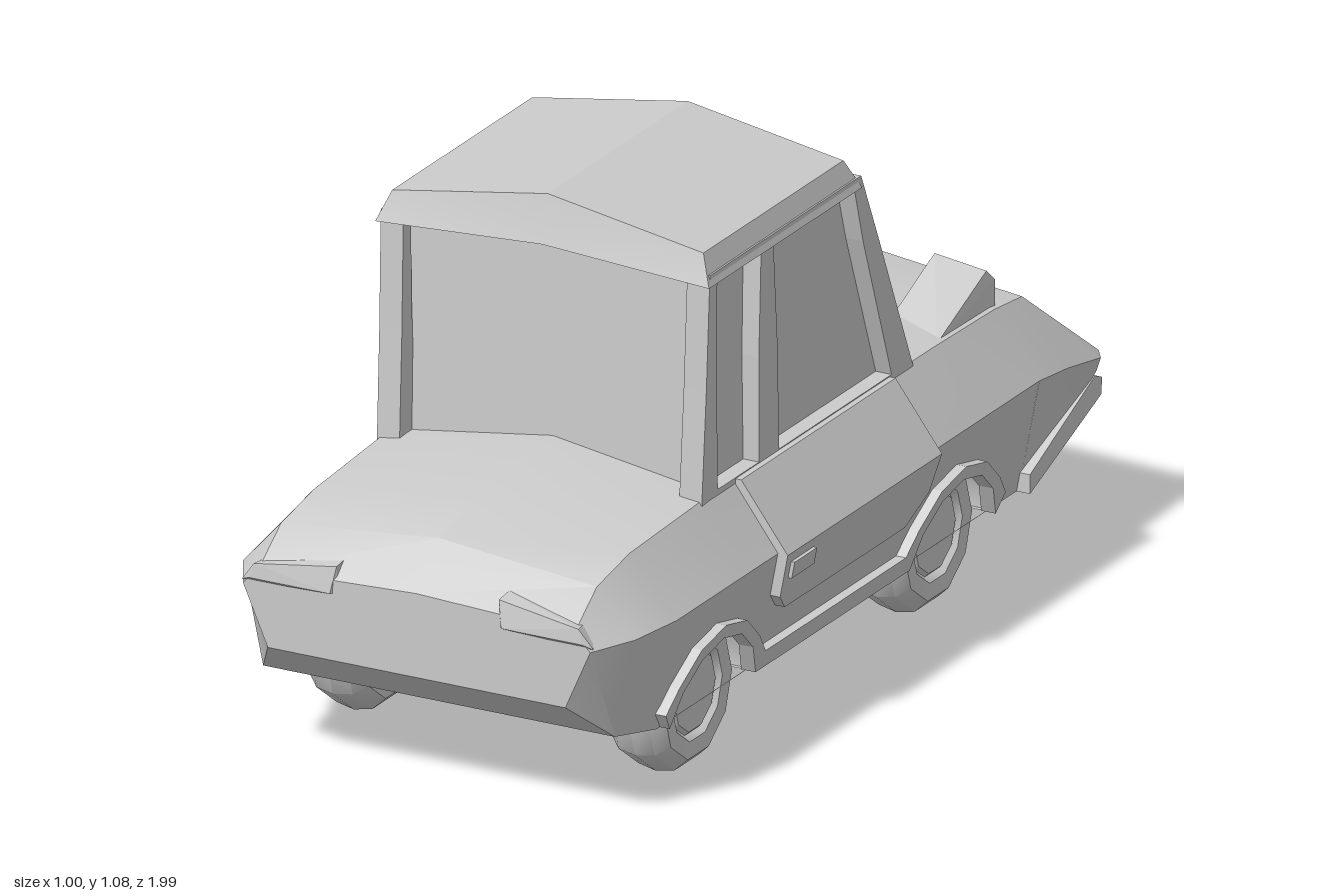
import * as THREE from 'three';
import { toCreasedNormals } from 'three/addons/utils/BufferGeometryUtils.js';
import { ConvexGeometry } from 'three/addons/geometries/ConvexGeometry.js';

const material = new THREE.MeshStandardMaterial({ color: 0xcccccc, side: THREE.DoubleSide });
const WHEELS_Z = [-0.395, 0.565];
const FLOOR = 0.155, BELT = 0.39;

// Half-width of the body side at a height: leans out to the belt line, then in to the shoulder
const sideX = y => (y > BELT ? 0.455 - (y - BELT) * 0.75 : 0.41 + (y - FLOOR) * 0.19);

export function createModel() {
  const car = new THREE.Group();

  function add(name, geometry, mirrored = false) {
    for (const s of mirrored ? [1, -1] : [1]) {
      const mesh = new THREE.Mesh(geometry, material);
      mesh.name = mirrored ? (s > 0 ? 'left' : 'right') + name : name;
      mesh.scale.x = s;
      car.add(mesh);
    }
  }

  // Skin over rings of [x, y, z], ordered front to back; skip() leaves strips open
  function loft(rings, skip = () => false, crease = 0.45) {
    const out = [];
    const n = rings[0].length;
    const tri = (...p) => p.forEach(v => out.push(...v));
    for (let i = 0; i < rings.length - 1; i++) {
      for (let k = 0; k < n; k++) {
        if (skip(i, k)) continue;
        const j = (k + 1) % n;
        tri(rings[i][k], rings[i + 1][k], rings[i][j]);
        tri(rings[i][j], rings[i + 1][k], rings[i + 1][j]);
      }
    }
    const first = rings[0], last = rings[rings.length - 1];
    for (let k = 1; k < n - 1; k++) {
      tri(first[0], first[k], first[k + 1]);
      tri(last[0], last[k + 1], last[k]);
    }
    const g = new THREE.BufferGeometry();
    g.setAttribute('position', new THREE.Float32BufferAttribute(out, 3));
    g.computeVertexNormals();
    return toCreasedNormals(g, crease);
  }

  // Side panel from a [z, y] outline, pushed out in x by a rule of height
  function panel(points, depth, rule, holes = []) {
    const toPath = pts => pts.map(([z, y]) => new THREE.Vector2(-z, y));
    const shape = new THREE.Shape(toPath(points));
    shape.holes = holes.map(h => new THREE.Path(toPath(h)));
    const g = new THREE.ExtrudeGeometry(shape, { depth, bevelEnabled: false }).rotateY(Math.PI / 2);
    const p = g.attributes.position;
    for (let i = 0; i < p.count; i++) p.setX(i, p.getX(i) + rule(p.getY(i)));
    g.computeVertexNormals();
    return g;
  }

  // Lower edge of the side running over both wheel arches, rear to front
  function archLine(r, base) {
    const pts = [];
    for (const c of WHEELS_Z) {
      for (let i = 0; i <= 6; i++) {
        const a = Math.PI * (1 - 0.06 - 0.88 * i / 6);
        pts.push([c + r * Math.cos(a), Math.max(base, 0.115 + r * Math.sin(a))]);
      }
    }
    return pts;
  }

  // Body sections: z, bottom x y, belt x y, shoulder x y, centre height
  const sections = [
    [0.97, 0.33, 0.26, 0.385, 0.385, 0.35, 0.42, 0.435],
    [0.88, 0.39, 0.18, 0.435, 0.39, 0.35, 0.485, 0.52],
    [0.75, 0.41, FLOOR, 0.455, BELT, 0.35, 0.51, 0.545],
    [0.45, 0.41, FLOOR, 0.455, BELT, 0.355, 0.525, 0.578],
    [-0.45, 0.41, FLOOR, 0.455, BELT, 0.355, 0.525, 0.57],
    [-0.7, 0.41, FLOOR, 0.455, BELT, 0.355, 0.52, 0.565],
    [-0.82, 0.42, 0.215, 0.452, 0.375, 0.35, 0.505, 0.545],
    [-0.955, 0.44, 0.32, 0.45, 0.35, 0.445, 0.365, 0.415],
  ];
  const rings = sections.map(([z, xb, yb, xw, yw, xs, ys, yc]) => [
    [xb, yb, z], [xw, yw, z], [xs, ys, z], [0, yc, z],
    [-xs, ys, z], [-xw, yw, z], [-xb, yb, z]]);
  add('bodyShell', loft(rings, (i, k) => i >= 2 && i <= 4 && [0, 5, 6].includes(k)));

  // Lower sides with arch openings, and the raised trim that follows them
  const opening = archLine(0.175, FLOOR);
  add('LowerSide', panel([[0.75, BELT], [-0.7, BELT], [-0.7, FLOOR], ...opening, [0.75, FLOOR]],
    0.01, y => sideX(y) - 0.01), true);
  add('ArchTrim', panel([...archLine(0.203, 0.192), ...opening.slice().reverse()],
    0.03, y => sideX(y) - 0.008), true);

  // Floor with wheel cut-outs
  const rect = (x0, x1, z0, z1) => [[x0, z0], [x1, z0], [x1, z1], [x0, z1]].map(p => new THREE.Vector2(...p));
  const floor = new THREE.Shape(rect(-0.41, 0.41, -0.7, 0.75));
  for (const c of WHEELS_Z) {
    for (const x of [-0.41, 0.25]) {
      floor.holes.push(new THREE.Path(rect(x + 0.002, x + 0.158, c - 0.175, c + 0.175)));
    }
  }
  add('floor', new THREE.ShapeGeometry(floor).rotateX(Math.PI / 2).translate(0, FLOOR, 0));

  // Wheels and the wells they sit in
  const tyre = [[0.09, 0.05], [0.1, 0.063], [0.135, 0.065], [0.16, 0.04], [0.168, 0],
    [0.16, -0.04], [0.135, -0.065], [0, -0.065]].map(p => new THREE.Vector2(...p)).reverse();
  const hub = [[0, 0.058], [0.082, 0.058], [0.095, 0.045]].map(p => new THREE.Vector2(...p)).reverse();
  for (const [i, z] of WHEELS_Z.entries()) {
    const place = g => g.rotateZ(-Math.PI / 2).translate(0.335, 0.168, z);
    const end = i ? 'Front' : 'Rear';
    add(end + 'Tyre', toCreasedNormals(place(new THREE.LatheGeometry(tyre, 10)), 0.7), true);
    add(end + 'Hub', toCreasedNormals(place(new THREE.LatheGeometry(hub, 10)), 0.3), true);
    const well = new THREE.CylinderGeometry(0.185, 0.185, 0.16, 10, 1, true, 0, Math.PI)
      .rotateZ(Math.PI / 2).rotateX(0).translate(0.33, FLOOR, z);
    add(end + 'Well', well, true);
    add(end + 'WellWall', new THREE.CircleGeometry(0.185, 10, 0, Math.PI)
      .rotateY(Math.PI / 2).translate(0.25, FLOOR, z), true);
  }

  // Doors: an upper and a lower half meeting at the belt line
  const onSide = y => sideX(y) - 0.005;
  add('DoorUpper', panel([[0.345, BELT], [0.345, 0.528], [-0.272, 0.528], [-0.272, BELT]], 0.027, onSide), true);
  add('DoorLower', panel([[0.345, BELT], [0.345, 0.3], [0.315, 0.268], [-0.165, 0.268],
    [-0.245, 0.315], [-0.272, BELT]], 0.027, onSide), true);
  add('DoorHandle', panel([[0.325, 0.335], [0.325, 0.37], [0.235, 0.37], [0.235, 0.335]], 0.035, onSide), true);

  // Cabin glass
  add('cabinGlass', panel([[0.43, 0.5], [0.41, 1.0], [-0.12, 1.0], [-0.19, 0.87], [-0.335, 0.5]],
    0.65, () => -0.325));

  // Side frames with two windows each
  const frontWindow = [[0.415, 0.53], [0.425, 0.8], [0.425, 0.965], [0.25, 0.965], [0.255, 0.75], [0.25, 0.53]];
  const rearWindow = [[0.17, 0.53], [0.18, 0.75], [0.2, 0.965], [-0.125, 0.965], [-0.16, 0.85], [-0.28, 0.53]];
  add('CabinFrame', panel([[0.48, 0.5], [0.465, 0.75], [0.455, 0.99], [-0.15, 0.99], [-0.225, 0.83], [-0.375, 0.5]],
    0.05, y => 0.31 + (y - 0.5) * 0.01, [frontWindow, rearWindow]), true);

  // Roof with a crowned centre and slanted ends
  const roofRing = (low, high) => [
    [0, 0.99, low], [0.37, 0.968, low], [0.345, 1.03, high], [0, 1.088, high],
    [-0.345, 1.03, high], [-0.37, 0.968, low]];
  add('roof', loft([roofRing(0.468, 0.445), roofRing(-0.145, -0.115)], undefined, 0.3));

  // Headlamp wedges, tail lamp pods and rear bumper
  const hull = pts => new ConvexGeometry(pts.map(p => new THREE.Vector3(...p)));
  add('Headlamp', hull([[0.18, 0.46, 0.925], [0.18, 0.4, 0.96], [0.18, 0.455, 0.965], [0.36, 0.43, 0.972],
    [0.39, 0.39, 0.965], [0.19, 0.4, 0.975], [0.37, 0.4, 0.975], [0.35, 0.43, 0.91]]), true);
  add('TailLampPod', hull([[0.21, 0.525, -0.72], [0.345, 0.5, -0.72], [0.22, 0.61, -0.705], [0.335, 0.595, -0.705],
    [0.215, 0.585, -0.73], [0.34, 0.57, -0.73], [0.22, 0.535, -0.53], [0.345, 0.52, -0.49]]), true);
  add('rearBumper', panel([[-0.69, FLOOR], [-0.975, 0.265], [-0.978, 0.3], [-0.95, 0.312], [-0.69, 0.195]],
    0.88, () => -0.44));

  // The car stands turned slightly to its right
  car.rotation.y = -0.054;
  const model = new THREE.Group();
  model.name = 'car';
  model.add(car);
  return model;
}
